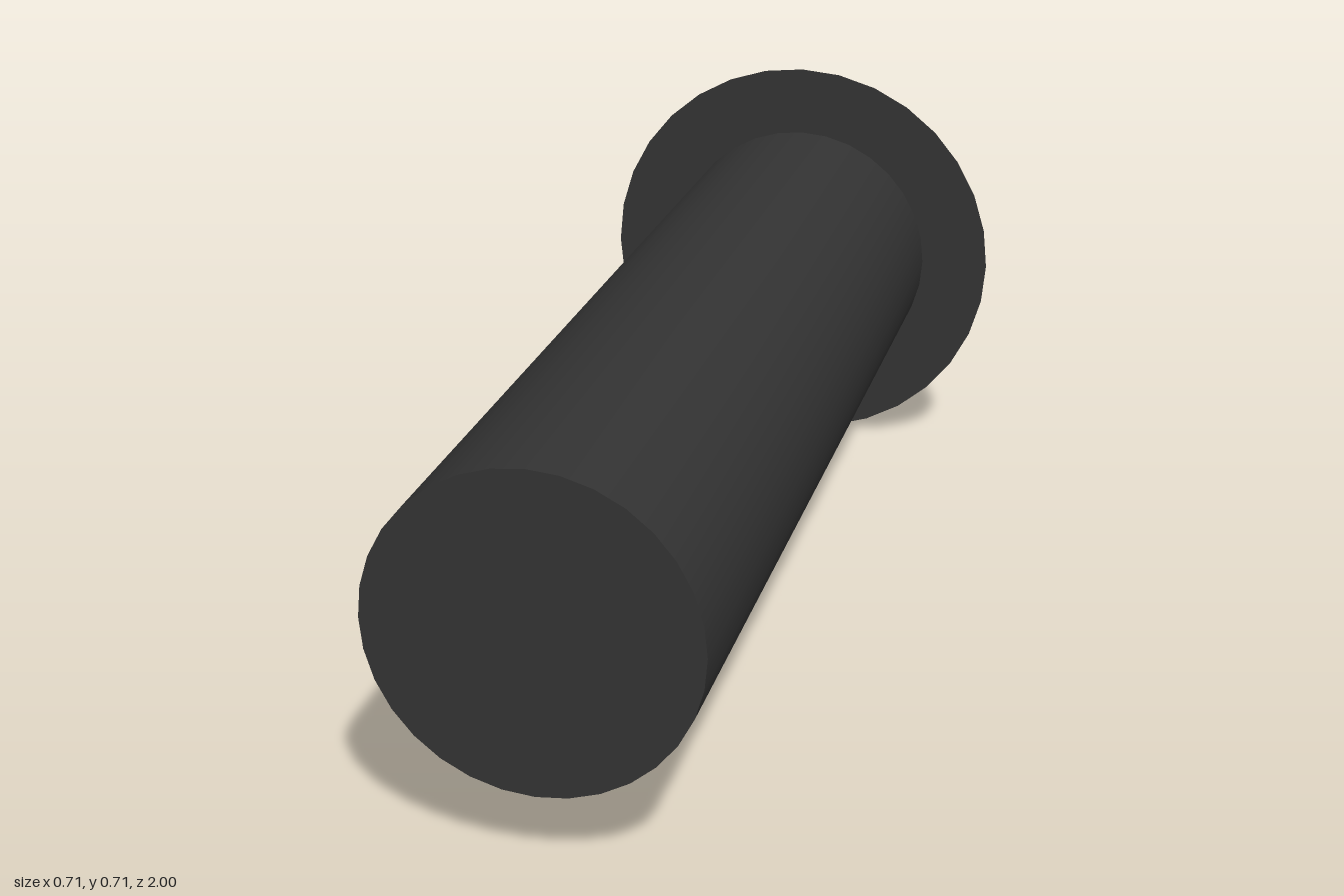
import * as THREE from 'three';
import { mergeGeometries, toCreasedNormals } from 'three/addons/utils/BufferGeometryUtils.js';

const SIDES = 32;
const RADIUS = 0.355;     // widest radius, also the axis height
const SHAFT = 0.235;
const BORE = 0.185;
const SHOULDER = -0.615;  // where the head meets the shaft

export function createModel() {
  const group = new THREE.Group();
  group.name = 'barbedPlug';
  const material = new THREE.MeshStandardMaterial({ color: 0x333333 });

  // Turned part along z; profile of [radius, z], one lathe per segment keeps corners sharp
  function turned(name, profile) {
    const bands = [];
    for (let i = 0; i < profile.length - 1; i++) {
      const pair = [profile[i], profile[i + 1]].map(([r, z]) => new THREE.Vector2(r, z));
      bands.push(new THREE.LatheGeometry(pair, SIDES));
    }
    const geometry = toCreasedNormals(mergeGeometries(bands), 0.6);
    geometry.rotateX(Math.PI / 2);
    const mesh = new THREE.Mesh(geometry, material);
    mesh.name = name;
    mesh.position.y = RADIUS;
    group.add(mesh);
  }

  // Straight shaft with a closed front end
  turned('shaft', [[SHAFT, SHOULDER], [SHAFT, 1], [0, 1]]);

  // Conical head: rear rim, taper and flat shoulder
  turned('head', [[BORE, -1], [0.2, -1], [RADIUS, SHOULDER], [SHAFT, SHOULDER]]);

  // Blind bore opening at the rear
  turned('bore', [[0, 0.95], [BORE, 0.95], [BORE, -1]]);

  return group;
}
